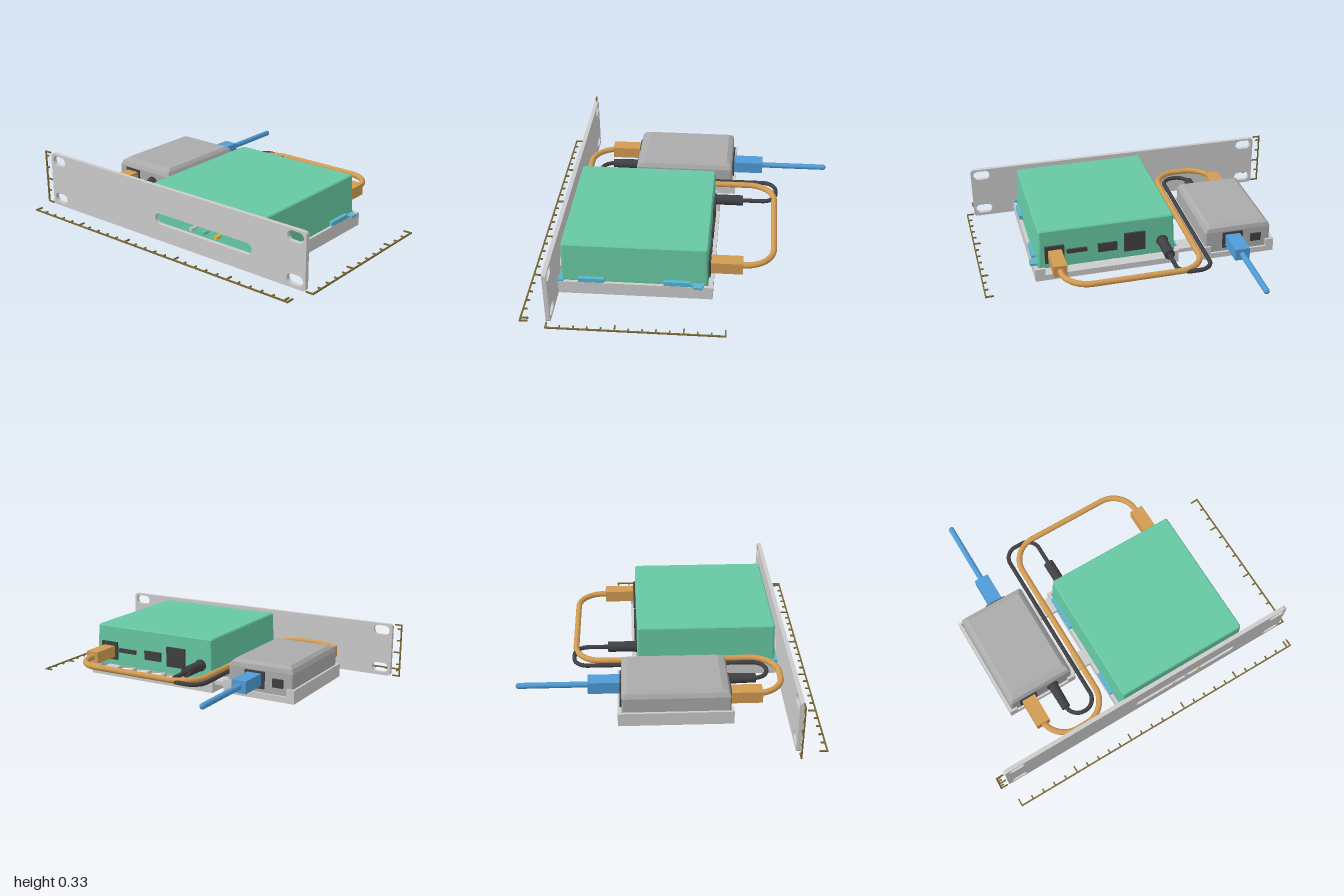
import * as THREE from 'three';

const material = (color) => new THREE.MeshStandardMaterial({ color });
const GREY = material(0xcccccc), CASE = material(0xaaaaaa), GREEN = material(0x66c8a2);
const ORANGE = material(0xd29b52), BLUE = material(0x4f9bd6), BLACK = material(0x404044);
const CYAN = material(0x58b4d0), OLIVE = material(0x7a6835), YELLOW = material(0xe0c040);

const CABLE_Y = 0.158;

// Rounded rectangle centred on (cx, cy)
function roundRect(cx, cy, w, h, r, Type = THREE.Shape) {
  const p = new Type(), x = w / 2 - r, y = h / 2 - r;
  p.absarc(cx + x, cy + y, r, 0, Math.PI / 2);
  p.absarc(cx - x, cy + y, r, Math.PI / 2, Math.PI);
  p.absarc(cx - x, cy - y, r, Math.PI, Math.PI * 1.5);
  p.absarc(cx + x, cy - y, r, Math.PI * 1.5, Math.PI * 2);
  p.closePath();
  return p;
}

const extrude = (shape, depth) =>
  new THREE.ExtrudeGeometry(shape, { depth, bevelEnabled: false, curveSegments: 8 });

export function createModel() {
  const model = new THREE.Group();
  model.name = 'rackShelf';

  function add(name, geometry, mat) {
    const mesh = new THREE.Mesh(geometry, mat);
    mesh.name = name;
    model.add(mesh);
    return mesh;
  }

  // Box given by its limits on each axis
  function box(name, x0, x1, y0, y1, z0, z1, mat) {
    const mesh = add(name, new THREE.BoxGeometry(x1 - x0, y1 - y0, z1 - z0), mat);
    mesh.position.set((x0 + x1) / 2, (y0 + y1) / 2, (z0 + z1) / 2);
    return mesh;
  }

  // Cylinder along z
  function rod(name, x, y, z0, z1, r, mat, r2 = r) {
    const geo = new THREE.CylinderGeometry(r2, r, z1 - z0, 20).rotateX(Math.PI / 2);
    add(name, geo, mat).position.set(x, y, (z0 + z1) / 2);
  }

  // Round-cornered housing built from stacked outlines: [y, x0, x1, z0, z1]
  function housing(name, levels, r, mat) {
    const rings = levels.map(([y, x0, x1, z0, z1]) =>
      roundRect((x0 + x1) / 2, -(z0 + z1) / 2, x1 - x0, z1 - z0, r).getPoints(4)
        .map((p) => [p.x, y, -p.y]));
    const pos = [];
    const n = rings[0].length;
    for (let l = 0; l < rings.length - 1; l++) {
      for (let i = 0; i < n; i++) {
        const j = (i + 1) % n;
        const a = rings[l][i], b = rings[l][j], c = rings[l + 1][j], d = rings[l + 1][i];
        pos.push(...a, ...b, ...c, ...a, ...c, ...d);
      }
    }
    const bottom = rings[0], top = rings[rings.length - 1];
    for (let i = 1; i < n - 1; i++) {
      pos.push(...top[0], ...top[i], ...top[i + 1]);
      pos.push(...bottom[0], ...bottom[i + 1], ...bottom[i]);
    }
    const geo = new THREE.BufferGeometry();
    geo.setAttribute('position', new THREE.Float32BufferAttribute(pos, 3));
    geo.computeVertexNormals();
    add(name, geo, mat);
  }

  // Floor plate pierced by a honeycomb
  function meshFloor(name, x0, x1, z0, z1, y, thick, pitch, hexR, border) {
    const cx = (x0 + x1) / 2, cz = (z0 + z1) / 2;
    const shape = roundRect(cx, -cz, x1 - x0, z1 - z0, 0.015);
    const rowStep = pitch * 0.866;
    const rows = Math.floor(((z1 - z0) / 2 - border - hexR) / rowStep);
    for (let r = -rows; r <= rows; r++) {
      const shift = r % 2 ? pitch / 2 : 0;
      for (let c = -12; c <= 12; c++) {
        const x = c * pitch + shift;
        if (Math.abs(x) > (x1 - x0) / 2 - border - hexR * 0.87) continue;
        const pts = [];
        for (let k = 0; k < 6; k++) {
          const a = Math.PI / 6 + k * Math.PI / 3;
          pts.push(new THREE.Vector2(cx + x + hexR * Math.cos(a), -cz + r * rowStep + hexR * Math.sin(a)));
        }
        shape.holes.push(new THREE.Path(pts));
      }
    }
    add(name, extrude(shape, thick).rotateX(-Math.PI / 2), GREY).position.y = y;
  }

  // Cable through [x, z] corners with rounded bends
  function cable(name, corners, bend, r, y, mat) {
    const pts = corners.map(([x, z]) => new THREE.Vector3(x, y, z));
    const path = new THREE.CurvePath();
    let last = pts[0];
    for (let i = 1; i < pts.length - 1; i++) {
      const p = pts[i];
      const a = p.clone().add(pts[i - 1].clone().sub(p).setLength(bend));
      const b = p.clone().add(pts[i + 1].clone().sub(p).setLength(bend));
      path.add(new THREE.LineCurve3(last, a));
      path.add(new THREE.CubicBezierCurve3(a, a.clone().lerp(p, 0.552), b.clone().lerp(p, 0.552), b));
      last = b;
    }
    path.add(new THREE.LineCurve3(last, pts[pts.length - 1]));
    add(name, new THREE.TubeGeometry(path, 180, r, 12), mat);
  }

  // Front panel with four mounting slots and a window
  const panel = roundRect(0.003, 0.165, 1.896, 0.328, 0.02);
  for (const x of [-0.876, 0.884]) for (const y of [0.05, 0.288])
    panel.holes.push(roundRect(x, y, 0.102, 0.058, 0.028, THREE.Path));
  panel.holes.push(roundRect(0.259, 0.134, 0.69, 0.066, 0.032, THREE.Path));
  add('frontPanel', extrude(panel, 0.024), GREY).position.z = 0.675;

  // Large tray
  meshFloor('largeTrayFloor', -0.171, 0.695, -0.19, 0.676, 0.003, 0.02, 0.112, 0.053, 0.035);
  box('largeTrayWall', -0.171, -0.154, 0.003, 0.082, -0.19, 0.676, GREY);
  box('largeTrayWall', 0.678, 0.695, 0.003, 0.082, -0.19, 0.676, GREY);
  box('largeTrayBackLip', -0.171, 0.695, 0.003, 0.04, -0.19, -0.175, GREY);
  box('largeTrayFrontLip', -0.171, 0.695, 0.003, 0.065, 0.66, 0.676, GREY);
  for (const x of [-0.171, 0.635])
    box('largeTrayBackCorner', x, x + 0.06, 0.003, 0.082, -0.19, -0.172, GREY);

  // Coloured retaining clips along the tray rim
  for (const x of [-0.173, 0.665]) {
    box('sideClip', x, x + 0.029, 0.078, 0.108, 0.415, 0.56, CYAN);
    box('sideClip', x, x + 0.029, 0.078, 0.108, -0.07, 0.083, CYAN);
    box('rearClip', x, x + 0.029, 0.078, 0.094, -0.14, -0.07, CYAN);
  }
  for (const x of [-0.173, 0.582]) box('frontClip', x, x + 0.112, 0.07, 0.094, 0.645, 0.674, CYAN);
  box('clipTab', 0.69, 0.714, 0.08, 0.094, -0.135, -0.085, CYAN);

  // Large device with rear sockets and front lights
  housing('largeDevice', [
    [0.07, -0.153, 0.672, -0.163, 0.66], [0.09, -0.153, 0.672, -0.163, 0.66],
    [0.308, -0.145, 0.662, -0.16, 0.652], [0.315, -0.139, 0.656, -0.154, 0.646],
  ], 0.014, GREEN);
  const sockets = [[0.03, 0.157, 0.115, 0.235], [0.2, 0.315, 0.135, 0.19],
    [0.38, 0.5, 0.155, 0.18], [0.515, 0.63, 0.105, 0.215]];
  for (const [x0, x1, y0, y1] of sockets) box('rearSocket', x0, x1, y0, y1, -0.174, -0.14, BLACK);
  rod('powerSocket', -0.075, 0.152, -0.172, -0.14, 0.036, BLACK);
  [[0.18, GREY], [0.268, GREEN], [0.358, YELLOW]].forEach(([x, mat]) =>
    rod('indicatorLight', x, 0.134, 0.64, 0.702, 0.011, mat));

  // Small tray, raised beside the large one
  meshFloor('smallTrayFloor', -0.737, -0.295, -0.278, 0.362, 0.05, 0.02, 0.078, 0.032, 0.035);
  for (const x of [-0.737, -0.309]) box('smallTrayWall', x, x + 0.014, 0.05, 0.13, -0.278, 0.362, GREY);
  for (const z of [-0.278, 0.348]) {
    box('smallTrayLip', -0.737, -0.295, 0.05, 0.085, z, z + 0.014, GREY);
    for (const x of [-0.737, -0.345]) box('smallTrayCorner', x, x + 0.05, 0.05, 0.13, z, z + 0.014, GREY);
  }
  for (const z of [-0.165, 0.228]) box('trayBridge', -0.3, -0.165, 0.05, 0.075, z, z + 0.102, GREY);

  // Small device with bevelled lid and sockets
  housing('smallDevice', [
    [0.07, -0.718, -0.314, -0.258, 0.345], [0.212, -0.718, -0.314, -0.256, 0.345],
    [0.236, -0.705, -0.327, -0.25, 0.333], [0.252, -0.685, -0.345, -0.222, 0.295],
  ], 0.012, CASE);
  box('smallRearSocket', -0.545, -0.42, 0.105, 0.205, -0.266, -0.23, BLACK);
  box('smallRearSocket', -0.66, -0.595, 0.125, 0.175, -0.266, -0.23, BLACK);
  box('smallFrontSocket', -0.66, -0.55, 0.105, 0.205, 0.32, 0.352, BLACK);
  rod('smallPowerSocket', -0.443, 0.152, 0.32, 0.352, 0.037, BLACK);

  // Network cable between the two devices
  box('networkPlug', 0.532, 0.612, 0.122, 0.192, -0.353, -0.163, ORANGE);
  box('networkPlug', -0.647, -0.564, 0.122, 0.192, 0.345, 0.527, ORANGE);
  cable('networkCable', [[0.572, -0.33], [0.572, -0.522], [-0.237, -0.522], [-0.237, 0.65],
    [-0.605, 0.65], [-0.605, 0.49]], 0.155, 0.0175, CABLE_Y, ORANGE);

  // Power lead
  rod('powerPlug', -0.443, 0.152, 0.345, 0.508, 0.03, BLACK, 0.026);
  rod('powerPlug', -0.075, 0.152, -0.333, -0.16, 0.031, BLACK);
  cable('powerCable', [[-0.443, 0.47], [-0.443, 0.58], [-0.278, 0.58], [-0.278, -0.53],
    [-0.075, -0.53], [-0.075, -0.31]], 0.08, 0.0125, 0.152, BLACK);

  // Incoming cable
  box('uplinkPlug', -0.525, -0.437, 0.122, 0.194, -0.445, -0.25, BLUE);
  rod('uplinkCable', -0.481, CABLE_Y, -0.835, -0.44, 0.017, BLUE);
  add('uplinkCableEnd', new THREE.SphereGeometry(0.017, 16, 10), BLUE).position.set(-0.481, CABLE_Y, -0.833);

  // Measuring scales: ticks every tenth, longer on each fifth
  const t = 0.004;
  const tick = (i) => (i % 5 ? 0.022 : 0.042);
  const STEP = 0.0746;
  box('widthScale', -0.945, 0.951, 0, 2 * t, 0.84, 0.848, OLIVE);
  for (const [i, x] of [...Array(26).keys()].map((k) => [k, -0.941 + k * STEP]).concat([[0, 0.947]]))
    box('widthTick', x - t, x + t, 0, 2 * t, 0.843 - tick(i), 0.843, OLIVE);
  box('depthScale', 0.992, 1, 0, 2 * t, -0.281, 0.699, OLIVE);
  for (let i = 0; i <= 13; i++) {
    const z = 0.695 - i * STEP, len = i === 13 ? 0.045 : tick(i);
    box('depthTick', 0.995 - len, 0.995, 0, 2 * t, z - t, z + t, OLIVE);
  }
  box('heightScale', -1, -0.992, 0, 0.331, 0.691, 0.699, OLIVE);
  for (const [i, y] of [[0, t], [1, 0.078], [2, 0.153], [3, 0.228], [4, 0.302], [5, 0.327]])
    box('heightTick', -0.995, -0.995 + (i === 2 ? 0.042 : tick(i)), y - t, y + t, 0.691, 0.699, OLIVE);

  return model;
}
